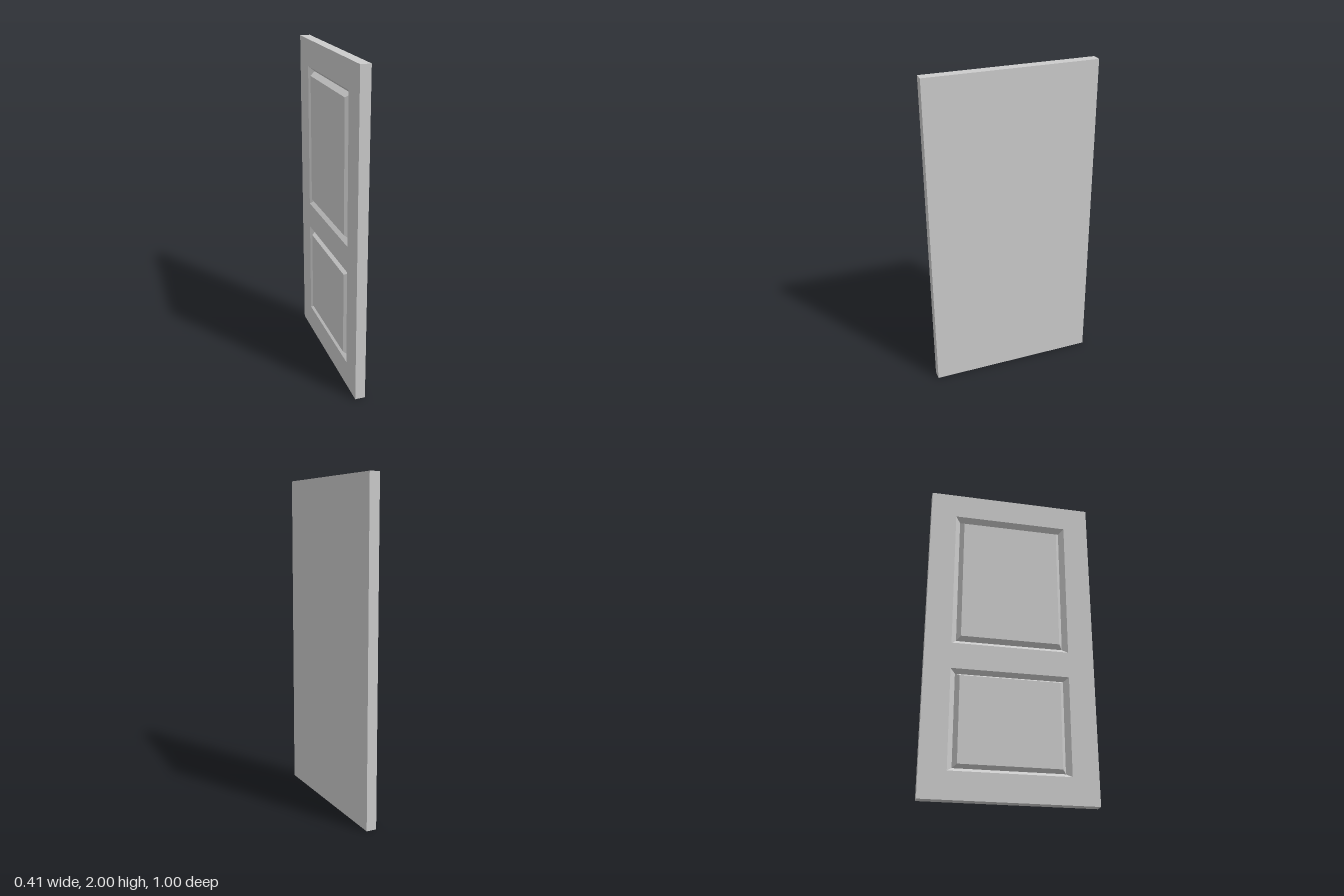
import * as THREE from 'three';

const WIDTH = 1.04, HEIGHT = 2, THICK = 0.062;
const FACE = THICK / 2;      // local z of the panelled face
const GROOVE = 0.031;        // depth of the V groove round each panel
const RAISE = 0.002;         // panel field stands slightly proud
const HALF = 0.36;           // half width of a panel opening

const material = new THREE.MeshStandardMaterial({ color: 0xcccccc, flatShading: true });

// Rectangle corners, anticlockwise seen from the panelled side
const rect = (hw, y0, y1, z) => [[-hw, y0, z], [hw, y0, z], [hw, y1, z], [-hw, y1, z]];

// Raised panel: nested rectangles stepping down into the groove and up to the field
function panelGeometry({ y0, y1, inset }) {
  const mid = 0.55;
  const loops = [
    rect(HALF, y0, y1, FACE),
    rect(HALF - 0.055 * mid, y0 + inset * mid, y1 - inset * mid, FACE - GROOVE),
    rect(HALF - 0.055, y0 + inset, y1 - inset, FACE + RAISE),
  ];
  const points = [];
  const quad = (a, b, c, d) => points.push(...a, ...b, ...c, ...a, ...c, ...d);
  for (let i = 0; i < 2; i++) {
    for (let k = 0; k < 4; k++) {
      const n = (k + 1) % 4;
      quad(loops[i][k], loops[i][n], loops[i + 1][n], loops[i + 1][k]);
    }
  }
  quad(...loops[2]);
  const geometry = new THREE.BufferGeometry();
  geometry.setAttribute('position', new THREE.Float32BufferAttribute(points, 3));
  geometry.computeVertexNormals();
  return geometry;
}

export function createModel() {
  const model = new THREE.Group();
  model.name = 'door';
  const add = (name, geometry) => {
    const mesh = new THREE.Mesh(geometry, material);
    mesh.name = name;
    model.add(mesh);
    return mesh;
  };

  const panels = [
    { name: 'upperPanel', y0: 0.936, y1: 1.837, inset: 0.05 },
    { name: 'lowerPanel', y0: 0.162, y1: 0.773, inset: 0.041 },
  ];

  // Slab: plain back and edges, the box's +z side left out
  const slab = new THREE.BoxGeometry(WIDTH, HEIGHT, THICK);
  const index = Array.from(slab.index.array);
  index.splice(24, 6);
  slab.setIndex(index);
  slab.clearGroups();
  slab.translate(0, HEIGHT / 2, 0);
  add('slab', slab);

  // Panelled face with an opening for each panel
  const toPoints = (corners) => corners.map(([x, y]) => new THREE.Vector2(x, y));
  const face = new THREE.Shape(toPoints(rect(WIDTH / 2, 0, HEIGHT, 0)));
  for (const p of panels) {
    face.holes.push(new THREE.Path(toPoints(rect(HALF, p.y0, p.y1, 0)).reverse()));
  }
  add('panelledFace', new THREE.ShapeGeometry(face).translate(0, 0, FACE));

  // Raised panels
  for (const p of panels) add(p.name, panelGeometry(p));

  // The door stands swung open
  model.rotation.y = THREE.MathUtils.degToRad(-70);
  return model;
}
